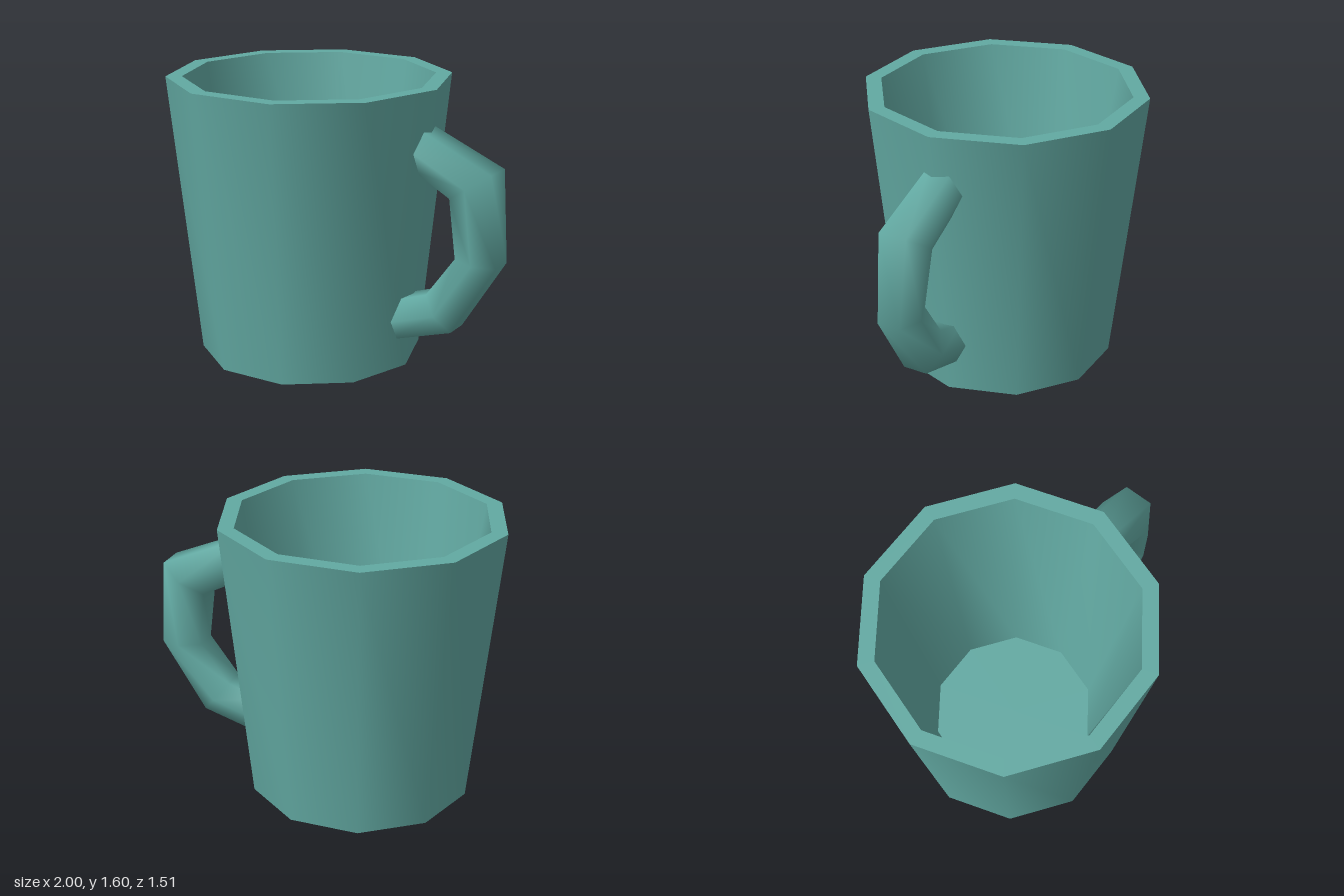
import * as THREE from 'three';
import { toCreasedNormals } from 'three/addons/utils/BufferGeometryUtils.js';

const SIDES = 10;
const CUP_X = -0.205;

// Ten-sided cup: base, outer wall, rim, inner wall and floor in one profile
function cupGeometry() {
  const profile = [
    [0, 0], [0.63, 0], [0.795, 1.595], [0.705, 1.595], [0.47, 0.15], [0, 0.15],
  ].map(([r, y]) => new THREE.Vector2(r, y));
  const lathe = new THREE.LatheGeometry(profile, SIDES, Math.PI / 2);
  return toCreasedNormals(lathe, Math.PI / 4);
}

// Six-sided handle lofted through mitred sections; its ends sit inside the wall
function handleGeometry() {
  // outer x, outer y, inner x, inner y, z shift, half width
  const sections = [
    [0.48, 1.40, 0.48, 1.155, -0.018, 0.13],
    [0.955, 1.195, 0.715, 1.035, -0.009, 0.149],
    [0.997, 0.69, 0.755, 0.705, 0.003, 0.123],
    [0.745, 0.285, 0.59, 0.475, 0.014, 0.127],
    [0.36, 0.168, 0.38, 0.405, 0.018, 0.127],
  ];
  // position across the section (0 outer, 1 inner) and z as a share of half width
  const hexagon = [[0, 0.55], [0.5, 1], [1, 0.55], [1, -0.55], [0.5, -1], [0, -0.55]];
  const n = hexagon.length;
  const positions = [];
  const index = [];
  sections.forEach(([ox, oy, ix, iy, shift, half], i) => {
    hexagon.forEach(([t, s], k) => {
      positions.push(ox + (ix - ox) * t, oy + (iy - oy) * t, shift + half * s);
      if (i === sections.length - 1) return;
      const a = i * n + k;
      const b = i * n + (k + 1) % n;
      index.push(a, b, a + n, b, b + n, a + n);
    });
  });
  const geometry = new THREE.BufferGeometry();
  geometry.setAttribute('position', new THREE.Float32BufferAttribute(positions, 3));
  geometry.setIndex(index);
  geometry.computeVertexNormals();
  return geometry;
}

export function createModel() {
  const glaze = new THREE.MeshStandardMaterial({ color: 0x62a9a2 });
  glaze.name = 'teal glaze';

  const mug = new THREE.Group();
  mug.name = 'mug';

  const cup = new THREE.Mesh(cupGeometry(), glaze);
  cup.name = 'cup';
  cup.position.x = CUP_X;

  const handle = new THREE.Mesh(handleGeometry(), glaze);
  handle.name = 'handle';

  mug.add(cup, handle);
  return mug;
}
